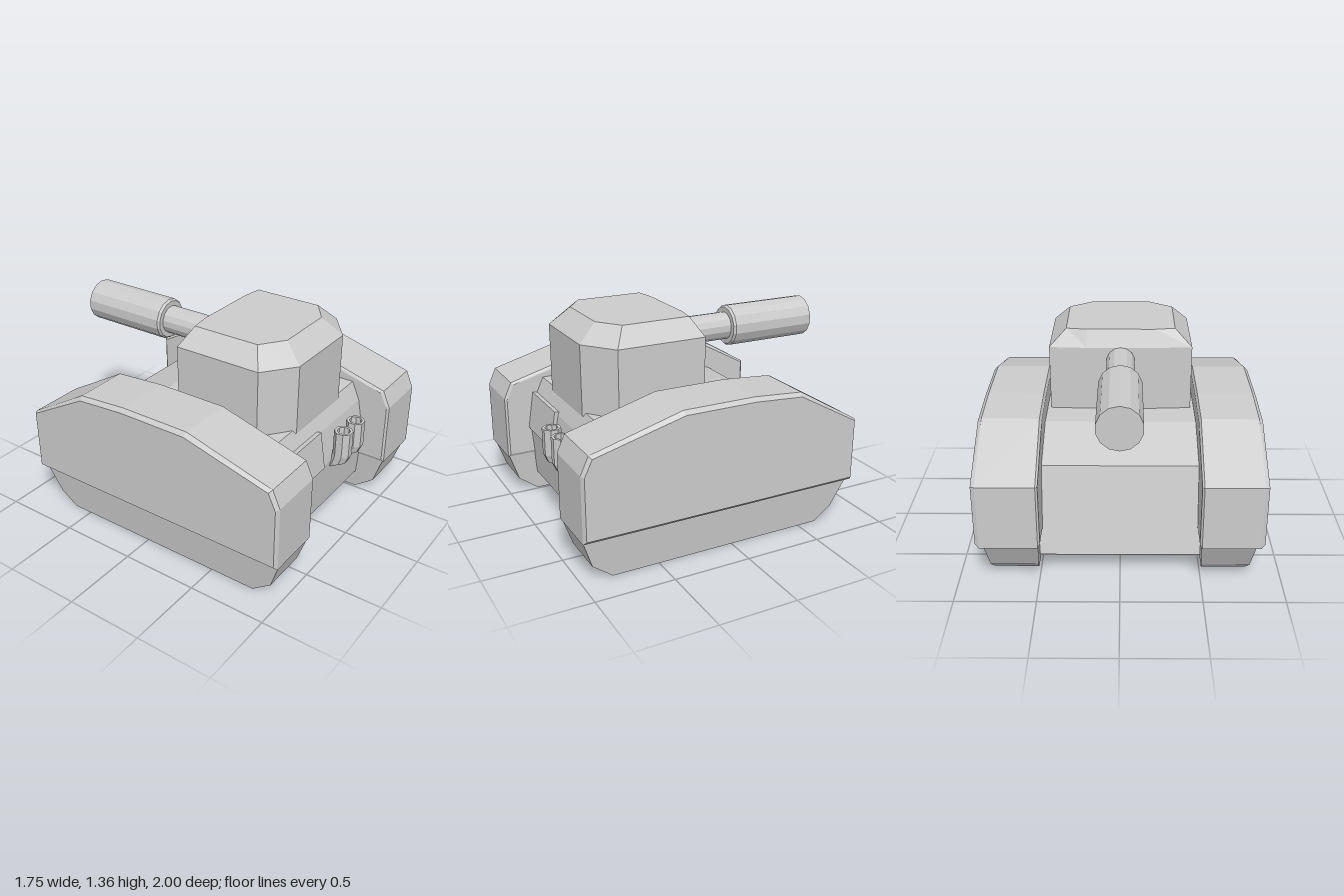
import * as THREE from 'three';

const material = new THREE.MeshStandardMaterial({ color: 0xcccccc, flatShading: true });

// Skin a list of equal-length rings of [x, y, z] points, capping both ends
function loft(rings) {
  const n = rings[0].length;
  const tris = [];
  for (let r = 0; r < rings.length - 1; r++) {
    for (let i = 0; i < n; i++) {
      const j = (i + 1) % n;
      const a = rings[r][i], b = rings[r][j], c = rings[r + 1][j], d = rings[r + 1][i];
      tris.push([a, b, c], [a, c, d]);
    }
  }
  const first = rings[0], last = rings[rings.length - 1];
  for (let i = 1; i < n - 1; i++) {
    tris.push([first[0], first[i + 1], first[i]], [last[0], last[i], last[i + 1]]);
  }
  // A negative signed volume means the faces point inward
  let volume = 0;
  for (const [a, b, c] of tris) {
    volume += new THREE.Vector3(...a).dot(new THREE.Vector3(...b).cross(new THREE.Vector3(...c)));
  }
  if (volume < 0) tris.forEach((t) => t.reverse());
  const geometry = new THREE.BufferGeometry();
  geometry.setAttribute('position', new THREE.Float32BufferAttribute(tris.flat(2), 3));
  geometry.computeVertexNormals();
  return geometry;
}

function add(parent, name, geometry) {
  const mesh = new THREE.Mesh(geometry, material);
  mesh.name = name;
  parent.add(mesh);
  return mesh;
}

// Side profiles as [z, y]
const fenderProfile = [
  [1, 0.28], [1, 0.7], [0.95, 0.81], [0.37, 0.97], [-0.1, 0.97],
  [-0.43, 0.945], [-0.85, 0.7], [-0.85, 0.28],
];
const trackProfile = [
  [0.995, 0.29], [0.93, 0.1], [0.8, 0], [-0.63, 0], [-0.74, 0.09], [-0.845, 0.29],
];
const hullProfile = [
  [0.8, 0.13], [0.83, 0.47], [0.785, 0.7], [0.73, 0.82], [-0.21, 0.82],
  [-0.56, 0.69], [-0.69, 0.13],
];

// Armoured fender with bevelled sides
function fenderGeometry(side) {
  const ring = (x, inset) => fenderProfile.map(([z, y]) => inset
    ? [side * x, 0.62 + (y - 0.62) * 0.93, 0.075 + (z - 0.075) * 0.985]
    : [side * x, y, z]);
  return loft([ring(0.482, true), ring(0.495, false), ring(0.85, false), ring(0.875, true)]);
}

// Running gear below the fender, narrowing towards the ground
function trackGeometry(side) {
  const inner = trackProfile.map(([z, y]) => [side * (0.515 - y * 0.08), y, z]);
  const outer = trackProfile.map(([z, y]) => [side * (0.795 + y * 0.1), y, z]);
  return loft([inner, outer]);
}

// Symmetric eight-sided turret outline from its +x half
function turretRing(half, y) {
  const mirrored = half.map(([x, z]) => [-x, z]).reverse();
  return [...half, ...mirrored].map(([x, z]) => [x, y, z]);
}

// Hollow-topped exhaust, bending back into the hull
function exhaustGeometry() {
  const ring = (y, z, r) => Array.from({ length: 8 }, (_, i) => {
    const a = ((i + 0.5) / 8) * Math.PI * 2;
    return [Math.cos(a) * r, y + Math.sin(a) * (0.885 - z) * 0.4, z + Math.sin(a) * r];
  });
  return loft([
    ring(0.6, 0.885, 0.042), ring(0.69, 0.885, 0.042), ring(0.69, 0.885, 0.06),
    ring(0.52, 0.885, 0.06), ring(0.46, 0.865, 0.058), ring(0.42, 0.81, 0.045),
  ]);
}

export function createModel() {
  const model = new THREE.Group();
  model.name = 'tank';

  // Hull between the tracks
  add(model, 'hull', loft([-0.5, 0.5].map((x) => hullProfile.map(([z, y]) => [x, y, z]))));

  for (const side of [-1, 1]) {
    const unit = new THREE.Group();
    unit.name = side > 0 ? 'leftTrackUnit' : 'rightTrackUnit';
    add(unit, 'fender', fenderGeometry(side));
    add(unit, 'track', trackGeometry(side));
    model.add(unit);
  }

  // Turret: straight walls, then a bevel up to the flat roof
  const wall = [[0.22, -0.002], [0.46, 0.012], [0.46, 0.59], [0.26, 0.745]];
  const roof = [[0.22, 0.045], [0.35, 0.065], [0.35, 0.51], [0.2, 0.62]];
  add(model, 'turret', loft([
    turretRing(wall, 0.795), turretRing(wall, 1.245), turretRing(roof, 1.355),
  ]));

  // Gun: thin barrel with a thick sleeve, lying along -z
  const gunProfile = [
    [0, -0.05], [0.092, -0.05], [0.092, 0.395], [0.125, 0.395], [0.136, 0.41], [0.136, 1], [0, 1],
  ].map(([r, l]) => new THREE.Vector2(r, l));
  const gun = add(model, 'gun', new THREE.LatheGeometry(gunProfile, 14));
  gun.rotation.x = -Math.PI / 2;
  gun.position.y = 1.155;

  // Hatch plate leaning with the hull front
  const plate = add(model, 'hatchPlate', new THREE.BoxGeometry(0.425, 0.25, 0.05));
  plate.position.set(-0.272, 0.597, 0.802);
  plate.rotation.x = -0.16;

  // Pair of exhausts
  for (const x of [0.09, 0.25]) {
    add(model, 'exhaust', exhaustGeometry()).position.x = x;
  }
  return model;
}
